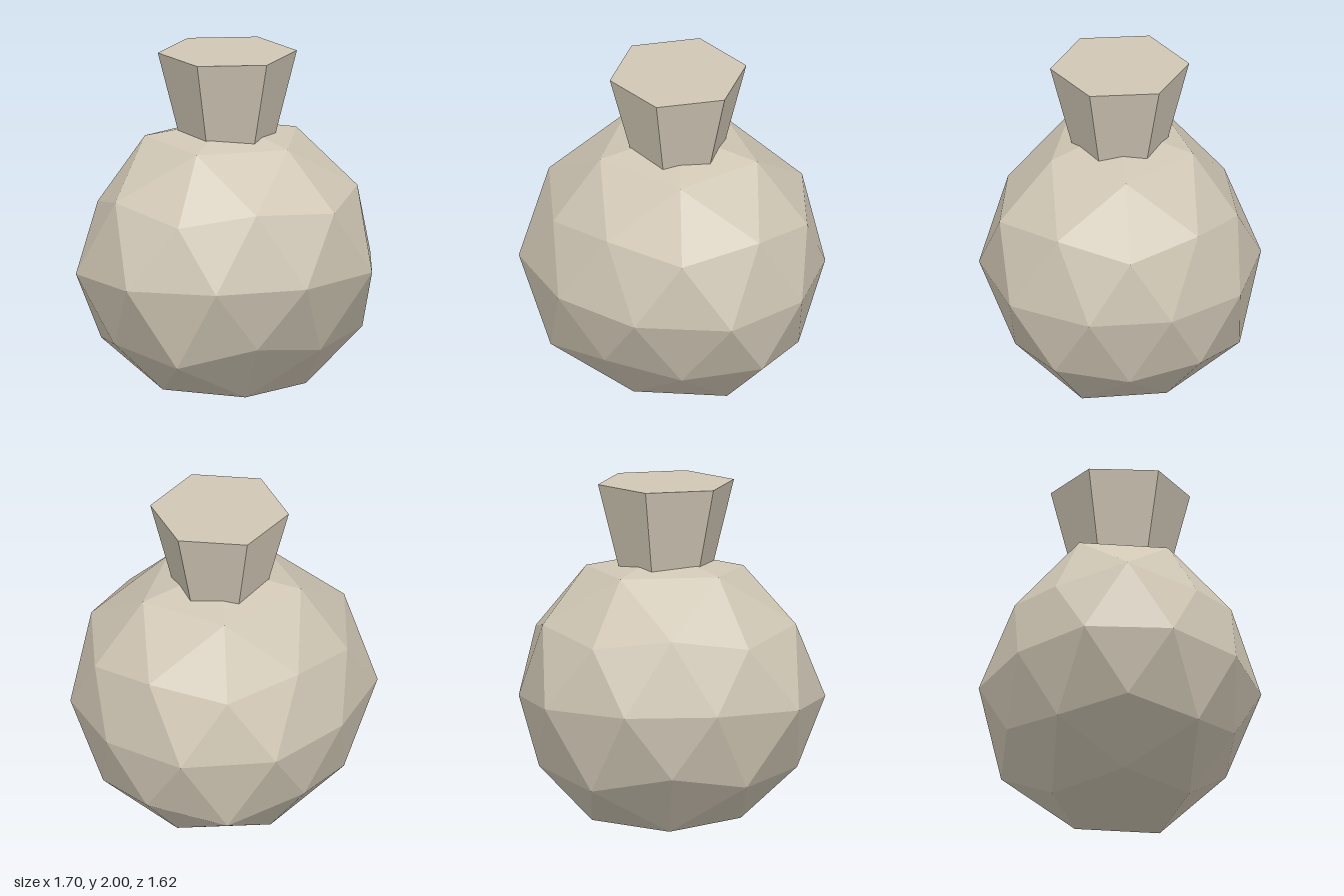
import * as THREE from 'three';

const stone = new THREE.MeshStandardMaterial({ color: 0xcfc6b4, flatShading: true });
stone.name = 'pale stone';

const CENTRE = [0.018, 0.757, 0];

// Radius of every corner of the faceted ball, ring by ring.
// y: ring height on the unit sphere, start: angle of the first corner in
// degrees (0 = +x, 90 = +z), r: radii at even angular steps.
const RINGS = [
  { y: 1, start: 0, r: [0.886] },
  { y: 0.851, start: 0, r: [0.91, 0.895, 0.91, 0.93, 0.91] },
  { y: 0.526, start: 36, r: [0.907, 0.857, 0.915, 0.85, 0.895] },
  { y: 0.447, start: 0, r: [0.872, 0.928, 0.857, 0.86, 0.862] },
  { y: 0, start: 18, r: [0.87, 0.926, 0.899, 0.875, 0.922, 0.922, 0.848, 0.904, 0.896, 0.852] },
  { y: -0.447, start: 36, r: [0.895, 0.842, 0.88, 0.87, 0.876] },
  { y: -0.526, start: 0, r: [0.855, 0.849, 0.92, 0.88, 0.922] },
  { y: -0.851, start: 36, r: [0.885, 0.866, 0.853, 0.89, 0.87] },
  { y: -1, start: 0, r: [0.797] },
];

function cornerRadius(v) {
  const ring = RINGS.reduce((a, b) => (Math.abs(b.y - v.y) < Math.abs(a.y - v.y) ? b : a));
  const n = ring.r.length;
  const angle = THREE.MathUtils.radToDeg(Math.atan2(v.z, v.x));
  const i = Math.round((angle - ring.start) / (360 / n));
  return ring.r[((i % n) + n) % n];
}

// Uneven, slightly flattened ball with a corner at each pole
function ballGeometry() {
  const geo = new THREE.IcosahedronGeometry(1, 1);
  geo.rotateX(-Math.atan2((1 + Math.sqrt(5)) / 2, 1));
  geo.rotateY(Math.PI / 2);
  const pos = geo.attributes.position;
  const v = new THREE.Vector3();
  for (let i = 0; i < pos.count; i++) {
    v.fromBufferAttribute(pos, i);
    v.multiplyScalar(cornerRadius(v));
    pos.setXYZ(i, v.x, v.y, v.z);
  }
  geo.scale(1, 0.95, 0.9);
  geo.computeVertexNormals();
  return geo;
}

export function createModel() {
  const model = new THREE.Group();
  model.name = 'facetedFlask';

  const ball = new THREE.Mesh(ballGeometry(), stone);
  ball.name = 'body';
  ball.position.set(...CENTRE);
  model.add(ball);

  // Six-sided neck, widening upward and sunk into the ball
  const bottom = 1.4, top = 2;
  const neck = new THREE.Mesh(new THREE.CylinderGeometry(0.4, 0.249, top - bottom, 6), stone);
  neck.name = 'neck';
  neck.position.set(CENTRE[0], (top + bottom) / 2, 0);
  model.add(neck);

  return model;
}
